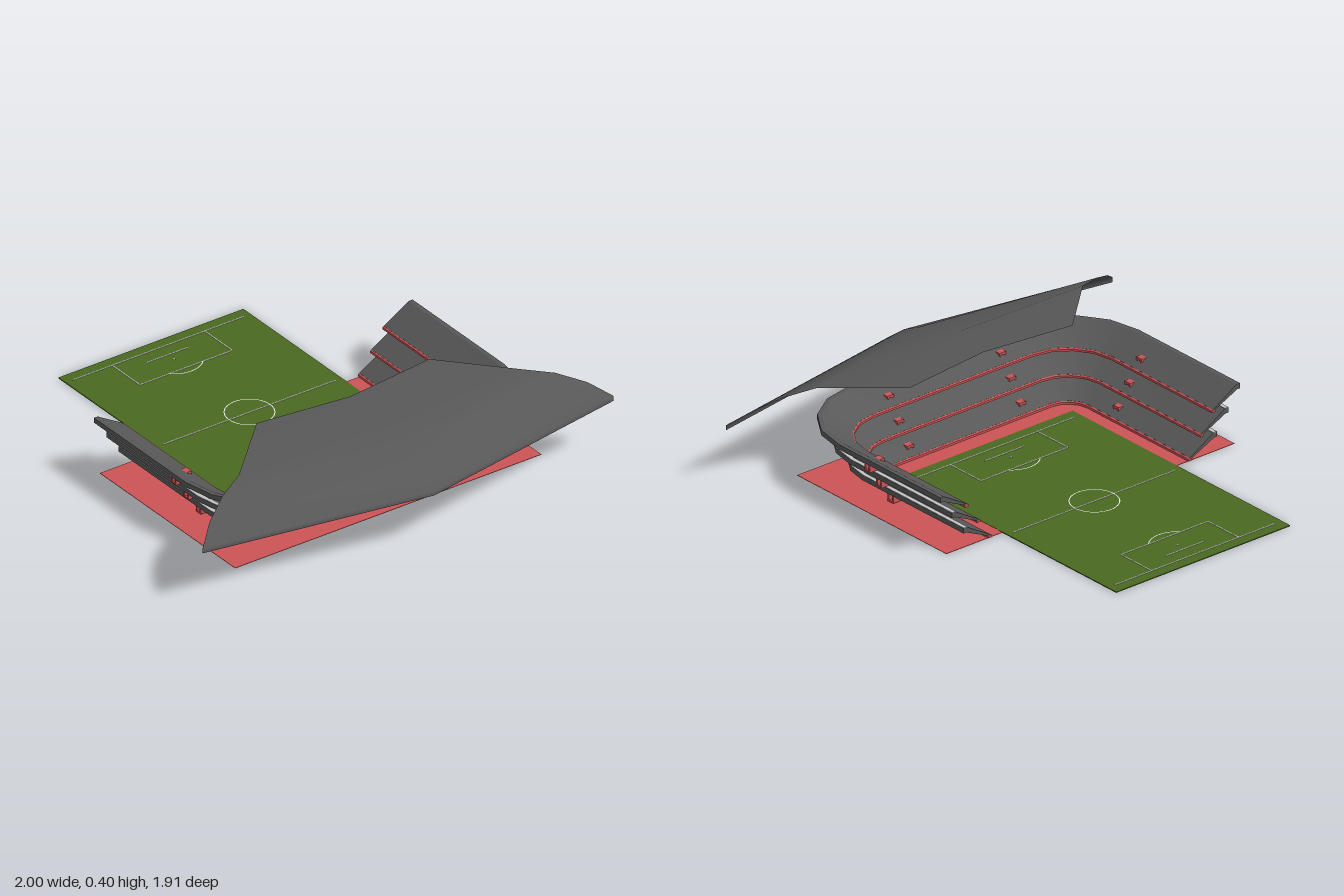
import * as THREE from 'three';
import { toCreasedNormals } from 'three/addons/utils/BufferGeometryUtils.js';

const CX = 0.01; // shared centre line of pitch and stands

function material(name, color, side = THREE.FrontSide) {
  const m = new THREE.MeshStandardMaterial({ color, side });
  m.name = name;
  return m;
}

function add(parent, name, geometry, mat, x = 0, y = 0, z = 0) {
  const mesh = new THREE.Mesh(geometry, mat);
  mesh.name = name;
  mesh.position.set(x, y, z);
  parent.add(mesh);
  return mesh;
}

// U-shaped path with two rounded corners: base point plus outward direction
const CORNER_X = 0.41, CORNER_Z = 0.34, BACK_Z = -0.275, STEPS = 4;
const path = [{ x: CORNER_X, z: BACK_Z, ox: 1, oz: 0 }];
for (const side of [0, 1]) {
  for (let i = 0; i <= STEPS; i++) {
    const a = (side + i / STEPS) * Math.PI / 2;
    path.push({ x: side ? -CORNER_X : CORNER_X, z: CORNER_Z, ox: Math.cos(a), oz: Math.sin(a) });
  }
}
path.push({ x: -CORNER_X, z: BACK_Z, ox: -1, oz: 0 });

// Sweeps a closed counter-clockwise (outward, height) profile along the path
function sweep(profile, r0, y0) {
  const rings = path.map(p => profile.map(([d, y]) =>
    [CX + p.x + p.ox * (r0 + d), y0 + y, p.z + p.oz * (r0 + d)]));
  const pos = [];
  const tri = (a, b, c) => pos.push(...a, ...b, ...c);
  const n = profile.length;
  for (let i = 0; i < rings.length - 1; i++) {
    for (let j = 0; j < n; j++) {
      const k = (j + 1) % n, A = rings[i], B = rings[i + 1];
      tri(A[j], A[k], B[k]);
      tri(A[j], B[k], B[j]);
    }
  }
  const first = rings[0], last = rings[rings.length - 1];
  const caps = THREE.ShapeUtils.triangulateShape(profile.map(([d, y]) => new THREE.Vector2(d, y)), []);
  for (const [a, b, c] of caps) {
    tri(first[c], first[b], first[a]);
    tri(last[a], last[b], last[c]);
  }
  const g = new THREE.BufferGeometry();
  g.setAttribute('position', new THREE.Float32BufferAttribute(pos, 3));
  return toCreasedNormals(g, 0.42);
}

// Tunnel frame through a stand, running outward along +z
function tunnelGeometry() {
  const w = 0.017, h = 0.042;
  const shape = new THREE.Shape([[-w, 0], [w, 0], [w, h], [-w, h]].map(p => new THREE.Vector2(...p)));
  const hole = [[-0.009, 0.006], [-0.009, 0.032], [0.009, 0.032], [0.009, 0.006]];
  shape.holes.push(new THREE.Path(hole.map(p => new THREE.Vector2(...p))));
  return new THREE.ExtrudeGeometry(shape, { depth: 0.075, bevelEnabled: false });
}

// Canopy: rows from the outer lip to the inner edge, each bent at the middle
function roofGeometry() {
  // half width, side z, middle z, height, middle x
  const rows = [
    [1.0, 0.775, 0.95, 0.228, 0], [1.0, 0.775, 0.95, 0.25, 0], [0.92, 0.71, 0.87, 0.31, 0],
    [0.81, 0.645, 0.77, 0.36, 0], [0.69, 0.585, 0.6, 0.387, 0.005], [0.42, 0.325, 0.375, 0.402, CX],
  ];
  const pos = [], index = [];
  rows.forEach(([w, zs, zm, y, c], i) => {
    pos.push(c - w, y, zs, c, y, zm, c + w, y, zs);
    if (i === 0) return;
    for (let j = 0; j < 2; j++) {
      const a = (i - 1) * 3 + j, b = a + 3;
      index.push(a, a + 1, b + 1, a, b + 1, b);
    }
  });
  const g = new THREE.BufferGeometry();
  g.setAttribute('position', new THREE.Float32BufferAttribute(pos, 3));
  g.setIndex(index);
  g.computeVertexNormals();
  return g;
}

export function createModel() {
  const model = new THREE.Group();
  model.name = 'stadium';
  const grey = material('concreteGrey', 0x585858);
  const roofGrey = material('roofGrey', 0x575757, THREE.DoubleSide);
  const red = material('red', 0xcc5355);
  const green = material('grassGreen', 0x4a6a20);
  const white = material('lineWhite', 0xf4f4f4);
  const light = material('ledgeLightGrey', 0xc4c4c4);

  // Ground slab and pitch
  add(model, 'groundSlab', new THREE.BoxGeometry(1.49, 0.002, 0.905), red, 0.005, 0.002, 0.1825);
  add(model, 'pitch', new THREE.BoxGeometry(0.9, 0.004, 1.32), green, CX, 0.002, -0.3);

  // Pitch markings, repeated for both ends
  const marks = new THREE.Group();
  marks.name = 'pitchMarkings';
  marks.position.set(CX, 0.005, -0.3);
  model.add(marks);
  const T = 0.004;
  const line = (parent, name, x, z, w, d) =>
    add(parent, name, new THREE.BoxGeometry(w, 0.002, d), white, x, 0, z);
  const ring = (parent, name, r, z, start = 0, length = Math.PI * 2) => {
    const g = new THREE.RingGeometry(r - T / 2, r + T / 2, 40, 1, start, length);
    g.rotateX(-Math.PI / 2);
    add(parent, name, g, white, 0, 0.001, z);
  };
  line(marks, 'halfwayLine', 0, 0, 0.84, T);
  ring(marks, 'centreCircle', 0.1, 0);
  for (const turn of [0, Math.PI]) {
    const end = new THREE.Group();
    end.name = 'pitchEndMarkings';
    end.rotation.y = turn;
    marks.add(end);
    line(end, 'goalLine', 0, 0.61, 0.835, T);
    line(end, 'penaltyAreaFront', 0, 0.425, 0.45, T);
    line(end, 'goalAreaFront', 0, 0.547, 0.2, T);
    for (const s of [-1, 1]) line(end, 'penaltyAreaSide', s * 0.225, 0.517, T, 0.185);
    line(end, 'penaltySpot', 0, 0.505, 0.007, 0.007);
    ring(end, 'penaltyArc', 0.115, 0.505, Math.PI / 4, Math.PI / 2);
  }

  // Three stacked tiers with red walkways and tunnels
  const standProfile = [[0, 0.008], [0.125, 0.066], [0.14, 0.066], [0.14, 0.088], [0.122, 0.088], [0, 0.016]];
  const walkProfile = [[-0.006, 0.003], [0.012, 0.003], [0.012, 0.018], [0.004, 0.018], [-0.006, 0.012]];
  const ledgeProfile = [[0.121, 0.087], [0.139, 0.087], [0.139, 0.09], [0.121, 0.09]];
  const tunnel = tunnelGeometry();
  for (let t = 0; t < 3; t++) {
    const r0 = 0.105 + t * 0.06, y0 = t * 0.087;
    const tier = new THREE.Group();
    tier.name = 'tier' + (t + 1);
    model.add(tier);
    add(tier, 'stand', sweep(standProfile, r0, y0), grey);
    add(tier, 'walkway', sweep(walkProfile, r0, y0), red);
    if (t < 2) add(tier, 'rearLedge', sweep(ledgeProfile, r0, y0), light);
    for (const s of [-1, 1]) {
      add(tier, 'frontTunnel', tunnel, red, CX + s * 0.29, y0 + 0.007, CORNER_Z + r0 + 0.03);
      const sideTunnel = add(tier, 'sideTunnel', tunnel, red, CX + s * (CORNER_X + r0 + 0.03), y0 + 0.007, 0.21);
      sideTunnel.rotation.y = s * Math.PI / 2;
    }
  }

  add(model, 'roof', roofGeometry(), roofGrey);
  return model;
}
